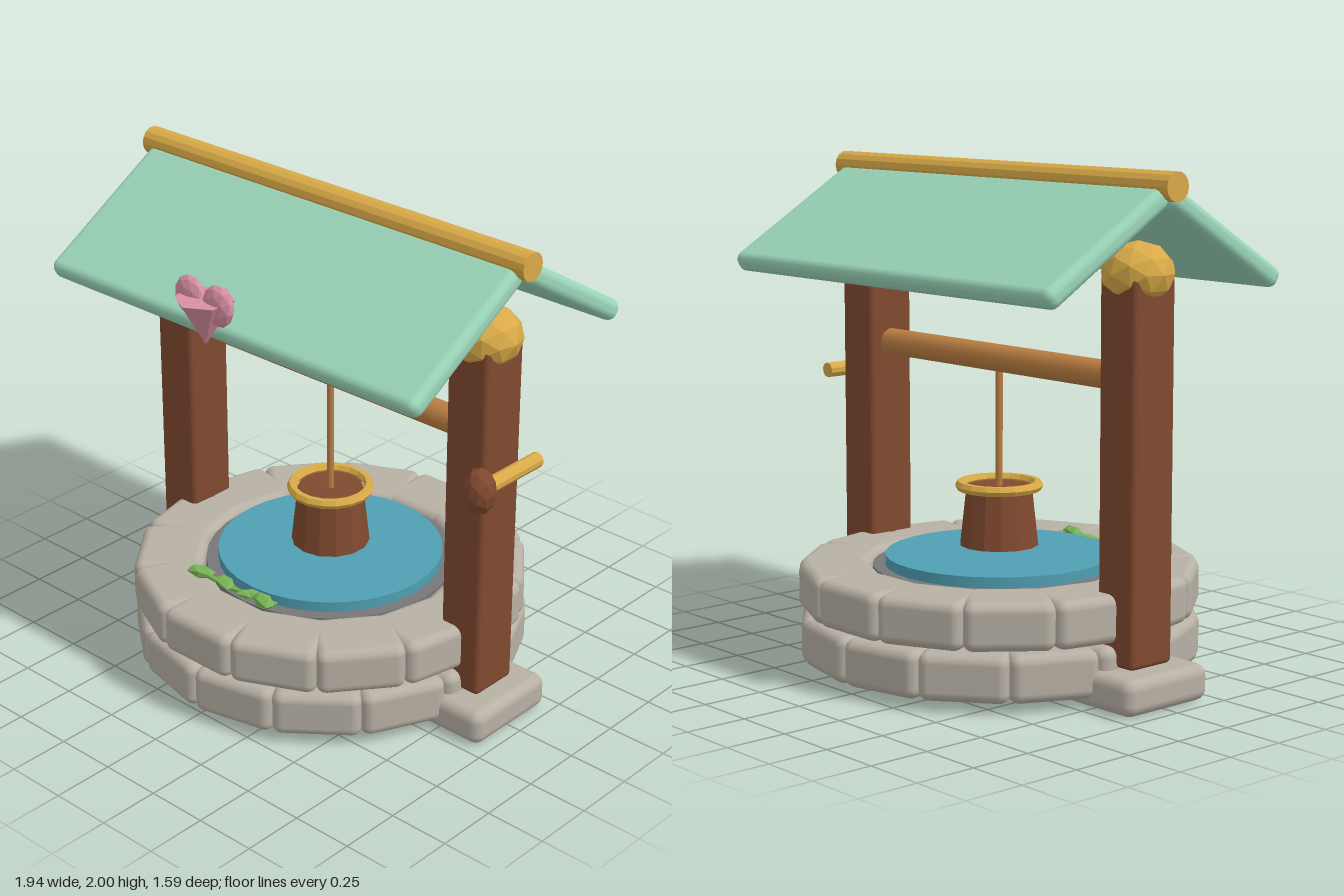
import * as THREE from 'three';
import { RoundedBoxGeometry } from 'three/addons/geometries/RoundedBoxGeometry.js';

const mat = (name, color, flatShading = false) => {
  const m = new THREE.MeshStandardMaterial({ color, flatShading });
  m.name = name;
  return m;
};

export function createModel() {
  const root = new THREE.Group();
  root.name = 'wishingWell';

  const stone = mat('stone', 0xb7b0a4);
  const darkStone = mat('liningStone', 0x77777a);
  const water = mat('water', 0x4f9fb2);
  const wood = mat('darkWood', 0x80492f, true);
  const tan = mat('lightWood', 0xbb7f42);
  const gold = mat('gold', 0xd9aa48, true);
  const mint = mat('mintRoof', 0x9bd6b9);
  const pink = mat('pink', 0xd88fa4, true);
  const green = mat('leafGreen', 0x78b356, true);

  const add = (name, geo, material, x, y, z, parent = root) => {
    const mesh = new THREE.Mesh(geo, material);
    mesh.name = name;
    mesh.position.set(x, y, z);
    parent.add(mesh);
    return mesh;
  };
  const box = (w, h, d, r) => new RoundedBoxGeometry(w, h, d, 3, r);
  const blob = (rx, ry, rz, detail = 1) => new THREE.IcosahedronGeometry(1, detail).scale(rx, ry, rz);

  // Two courses of wedge-laid stones, staggered by half a stone
  const COUNT = 14;
  const stoneGeo = box(0.345, 0.187, 0.28, 0.04);
  [['lowerStone', 0.131, 0.5], ['upperStone', 0.328, 0]].forEach(([name, y, shift]) => {
    const course = new THREE.Group();
    course.name = name + 'Course';
    for (let i = 0; i < COUNT; i++) {
      const a = ((i + shift) / COUNT) * Math.PI * 2;
      const s = add(name, stoneGeo, stone, Math.sin(a) * 0.645, y, Math.cos(a) * 0.645, course);
      s.rotation.y = a;
    }
    root.add(course);
  });

  // Inner lining and water
  add('lining', new THREE.CylinderGeometry(0.505, 0.505, 0.365, 32), darkStone, 0, 0.2205, 0);
  add('water', new THREE.CylinderGeometry(0.455, 0.455, 0.045, 32), water, 0, 0.4225, 0);

  // Feet, posts and faceted caps
  for (const side of [-1, 1]) {
    add('foot', box(0.37, 0.143, 0.43, 0.045), stone, side * 0.775, 0.0715, 0);
    const post = add('post', box(0.19, 1.47, 0.215, 0.022), wood, side * 0.77, 0.88, 0);
    post.material = wood;
    add('postCap', blob(0.14, 0.12, 0.14), gold, side * 0.77, 1.62, 0);
  }

  // Axle and rope
  const axle = add('axle', new THREE.CylinderGeometry(0.055, 0.055, 1.42, 16), tan, 0, 1.225, 0);
  axle.rotation.z = Math.PI / 2;
  add('rope', new THREE.CylinderGeometry(0.014, 0.014, 0.5, 8), tan, 0, 0.95, 0);

  // Bucket with a gold rim
  add('bucket', new THREE.CylinderGeometry(0.132, 0.158, 0.235, 14), wood, 0, 0.595, 0);
  const rim = add('bucketRim', new THREE.TorusGeometry(0.155, 0.021, 6, 18), gold, 0, 0.717, 0);
  rim.rotation.x = Math.PI / 2;

  // Crank on the outside of the left post
  const crank = add('crankRod', new THREE.CylinderGeometry(0.031, 0.031, 0.32, 10), gold, 0.905, 1.095, 0);
  crank.rotation.x = Math.PI / 2;
  add('crankKnob', blob(0.064, 0.095, 0.064), wood, 0.905, 1.095, 0.18);

  // Gabled roof and ridge pole
  const slope = 0.545;
  for (const side of [-1, 1]) {
    const d = 0.352;
    const panel = add('roofPanel', box(1.88, 0.085, 0.68, 0.036), mint,
      0, 1.92 - d * Math.sin(slope), side * d * Math.cos(slope));
    panel.rotation.x = side * slope;
  }
  const ridge = add('ridgePole', new THREE.CylinderGeometry(0.056, 0.056, 1.94, 14), gold, 0, 1.944, 0);
  ridge.rotation.z = Math.PI / 2;

  // Heart ornament: two lobes over a six-sided point
  const heart = new THREE.Group();
  heart.name = 'heart';
  heart.position.set(0, 0, 0.675);
  for (const side of [-1, 1]) {
    const lobe = add('heartLobe', blob(0.075, 0.083, 0.034), pink, side * 0.07, 1.743, 0, heart);
    lobe.rotation.z = side * -0.2;
  }
  const point = add('heartPoint', new THREE.ConeGeometry(0.115, 0.185, 6), pink, 0, 1.663, 0, heart);
  point.rotation.x = Math.PI;
  root.add(heart);

  // Vine trailing along the front of the rim
  const vine = new THREE.Group();
  vine.name = 'vine';
  const path = new THREE.CatmullRomCurve3([
    [-0.3, 0.425, 0.47], [-0.18, 0.435, 0.5], [-0.05, 0.425, 0.49], [0.06, 0.437, 0.49], [0.15, 0.43, 0.47],
  ].map((p) => new THREE.Vector3(...p)));
  add('vineStem', new THREE.TubeGeometry(path, 20, 0.011, 6), green, 0, 0, 0, vine);
  [[-0.24, 0.5, 0.3], [-0.12, 0.485, -0.4], [0.02, 0.485, 0.35], [0.1, 0.495, -0.3]].forEach(([x, z, turn], i) => {
    const big = i % 3 === 0;
    const leaf = add('leaf', blob(0.065, big ? 0.026 : 0.014, 0.035, 0), green, x, big ? 0.44 : 0.432, z, vine);
    leaf.rotation.y = turn;
  });
  root.add(vine);

  return root;
}
